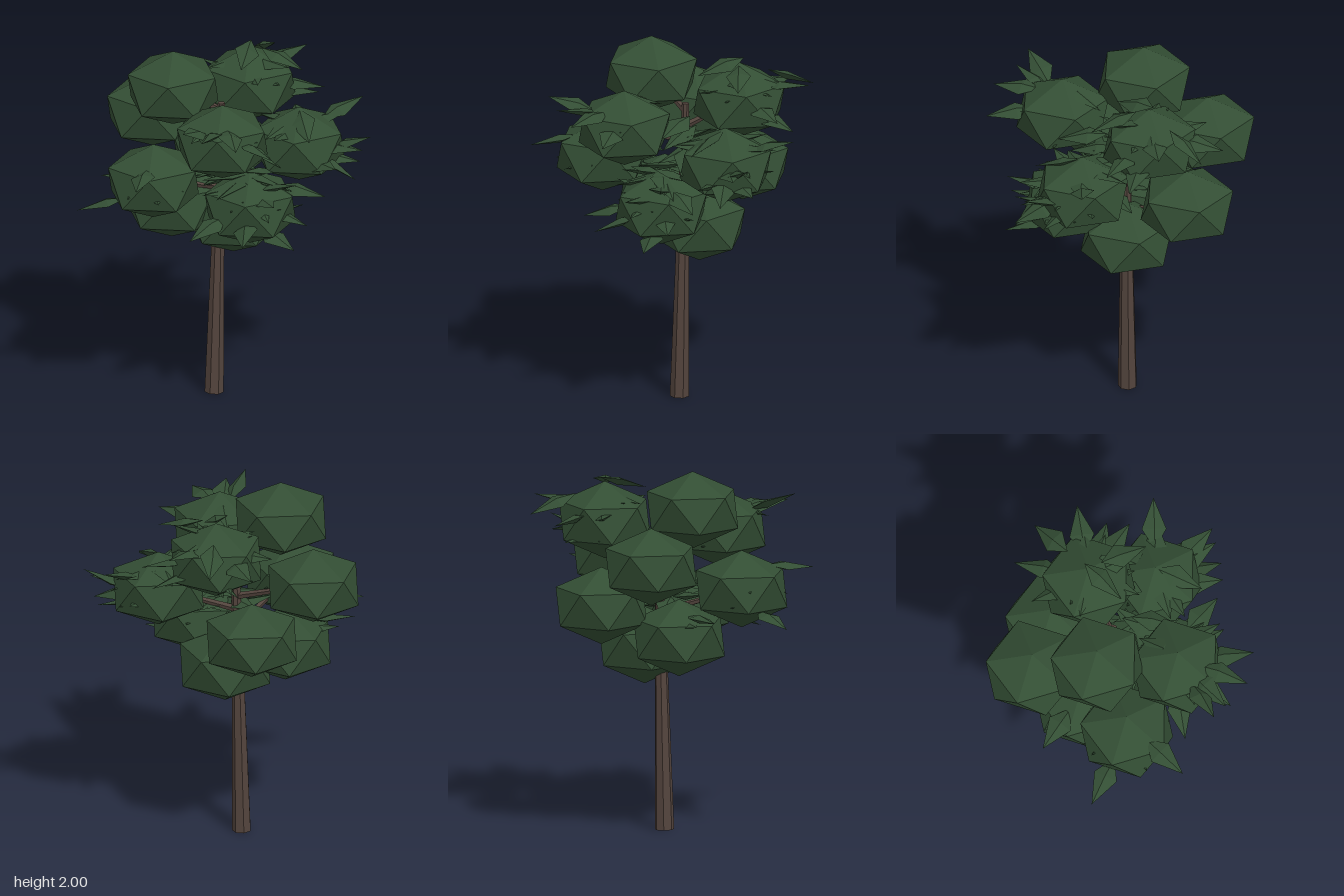
import * as THREE from 'three';

const V = (x, y, z) => new THREE.Vector3(x, y, z);

export function createModel() {
  const tree = new THREE.Group();
  tree.name = 'tree';
  const bark = new THREE.MeshStandardMaterial({ name: 'bark brown', color: 0x53443d, flatShading: true });
  const green = new THREE.MeshStandardMaterial({ name: 'foliage green', color: 0x334e34, flatShading: true });

  let seed = 7;
  const random = () => (seed = (seed * 16807) % 2147483647) / 2147483647;
  const between = (a, b) => a + (b - a) * random();

  function add(name, geometry, material, position) {
    const mesh = new THREE.Mesh(geometry, material);
    mesh.name = name;
    mesh.position.copy(position);
    tree.add(mesh);
    return mesh;
  }

  // Tapered faceted limb between two points
  function limb(name, from, to, r0, r1, sides) {
    const d = to.clone().sub(from);
    const mesh = add(name, new THREE.CylinderGeometry(r1, r0, d.length(), sides), bark,
      from.clone().add(to).multiplyScalar(0.5));
    mesh.quaternion.setFromUnitVectors(V(0, 1, 0), d.normalize());
  }

  // Slightly leaning trunk, hidden in the crown at the top
  const foot = V(-0.08, 0, -0.034), top = V(-0.05, 1.68, -0.062);
  limb('trunk', foot, top, 0.053, 0.02, 7);

  // Foliage clumps: flattened icosahedra standing on a corner
  const clumpShape = new THREE.IcosahedronGeometry(1, 0);
  clumpShape.rotateZ(-Math.atan(2 / (1 + Math.sqrt(5))));
  clumpShape.scale(0.28, 0.212, 0.28);
  const clumps = {
    crown: V(-0.268, 1.788, 0.09),
    left: V(-0.51, 1.525, -0.175),
    frontLeft: V(-0.262, 1.345, 0.36),
    lowLeft: V(-0.312, 1.095, 0.01),
    low: V(-0.01, 1.005, -0.132),
    lowRight: V(0.2, 1.18, 0.11),
    front: V(0.12, 1.615, 0.3),
    right: V(0.34, 1.45, -0.22),
    back: V(-0.01, 1.7, -0.35),
    lowBack: V(-0.22, 1.267, -0.402),
  };

  // A branch from the trunk into every clump
  for (const [name, centre] of Object.entries(clumps)) {
    add(name + 'Clump', clumpShape, green, centre);
    const start = foot.clone().lerp(top, Math.max(0.48, (centre.y - 0.15) / 1.68));
    limb(name + 'Branch', start, centre, 0.02, 0.01, 5);
  }

  // Pointed leaf: thin octahedron, widest near its base, tip at the origin facing +z
  const leafShape = new THREE.OctahedronGeometry(1, 0);
  const p = leafShape.attributes.position;
  for (let i = 0; i < p.count; i++) {
    const z = p.getZ(i);
    const along = Math.abs(z) > 0.5 ? (z > 0 ? 0 : -0.28) : -0.17;
    p.setXYZ(i, p.getX(i) * 0.068, p.getY(i) * 0.022, along);
  }

  // slope: rise of the leaf towards its tip
  function leaf(centre, tip, slope) {
    const out = V(tip.x - centre.x, 0, tip.z - centre.z).normalize();
    out.y = slope;
    const mesh = add('leaf', leafShape, green, tip);
    mesh.lookAt(tip.clone().add(out));
    mesh.rotateZ(between(-0.4, 0.4));
  }

  // Leaves sticking out past the clumps: tip position and slope
  const outerLeaves = {
    front: [[0.07, 1.8, 0.71, 0.35], [0.17, 1.75, 0.68, 0.15], [0.35, 1.71, 0.63, -0.1], [0.5, 1.63, 0.48, -0.1]],
    frontLeft: [[-0.18, 1.44, 0.77, -0.1], [-0.63, 1.18, 0.55, -0.25]],
    lowLeft: [[-0.67, 1.23, 0.15, 0], [-0.6, 1.2, 0.06, 0.1]],
    lowRight: [[0.6, 1.26, 0, -0.2], [0.55, 1.13, 0.13, -0.2], [0.53, 1.03, 0.26, -0.15], [0.45, 1.3, 0.35, 0.2],
      [0.33, 1.1, 0.5, -0.2], [0.02, 1.09, 0.51, -0.3], [0.5, 1.37, 0.16, 0.3]],
    right: [[0.75, 1.54, -0.26, 0.4], [0.73, 1.48, -0.2, 0.1], [0.72, 1.33, -0.13, -0.35], [0.57, 1.64, -0.56, 0.3],
      [0.52, 1.58, -0.47, 0.1], [0.65, 1.42, -0.02, 0.2], [0.66, 1.36, -0.32, -0.1]],
    back: [[-0.07, 1.75, -0.77, -0.4], [0.17, 1.82, -0.71, 0.1], [-0.28, 1.72, -0.67, -0.1], [0.29, 1.6, -0.6, -0.2],
      [0.37, 1.68, -0.5, -0.1], [0.33, 1.85, -0.29, -0.25], [0.15, 1.8, -0.1, 0.1], [-0.34, 1.76, -0.42, 0.1]],
  };
  for (const [name, tips] of Object.entries(outerLeaves))
    for (const [x, y, z, slope] of tips) leaf(clumps[name], V(x, y, z), slope);

  // Rings of overlapping leaves: centre, count, tip radius range, height range
  function leafRing(c, count, r0, r1, y0, y1) {
    for (let i = 0; i < count; i++) {
      const a = (i + between(0, 0.7)) / count * Math.PI * 2;
      const r = between(r0, r1);
      leaf(c, V(c.x + Math.cos(a) * r, c.y + between(y0, y1), c.z + Math.sin(a) * r), between(-0.4, 0.3));
    }
  }
  leafRing(clumps.lowRight, 20, 0.2, 0.3, 0, 0.17);
  leafRing(clumps.right, 14, 0.2, 0.3, -0.1, 0.13);
  leafRing(clumps.back, 14, 0.18, 0.28, -0.12, 0.18);
  leafRing(clumps.front, 12, 0.2, 0.27, -0.12, 0.12);
  leafRing(clumps.frontLeft, 9, 0.2, 0.27, -0.14, 0.05);

  // Inner leaves filling the heart of the crown
  leafRing(V(0.08, 1.5, -0.06), 14, 0.14, 0.28, -0.12, 0.1);
  leafRing(V(0.02, 1.25, 0.02), 10, 0.18, 0.3, -0.06, 0.12);

  return tree;
}
